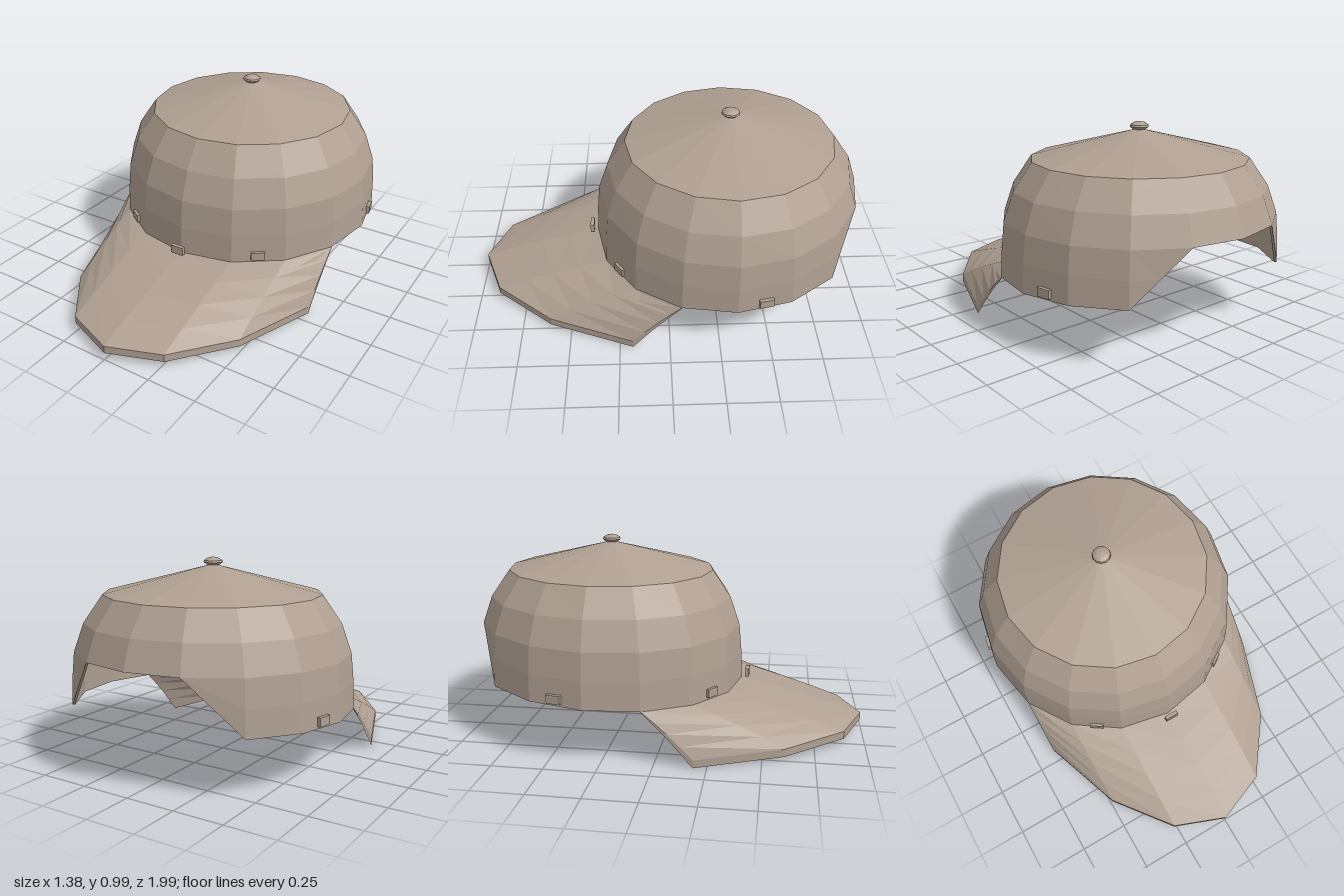
import * as THREE from 'three';

const STEP = Math.PI / 8;      // sixteen-sided crown
const CZ = -0.322;             // crown axis
const WALL = 0.012;

// Crown rings from rim to shoulder: height, radius, forward tilt
const RINGS = [
  [0.28, 0.692, 0.045],
  [0.415, 0.687, 0.034],
  [0.55, 0.674, 0.022],
  [0.69, 0.625, 0.015],
  [0.825, 0.532, 0.01],
];

// Faceted surface through a grid of points (rows of equal length)
function surface(rows) {
  const pos = [];
  const tri = (...pts) => pts.forEach((p) => pos.push(p.x, p.y, p.z));
  for (let r = 0; r < rows.length - 1; r++) {
    for (let c = 0; c < rows[r].length - 1; c++) {
      const a = rows[r][c], b = rows[r + 1][c], d = rows[r + 1][c + 1], e = rows[r][c + 1];
      if (d.distanceTo(b) > 1e-5) tri(a, b, d);
      if (a.distanceTo(e) > 1e-5) tri(a, d, e);
    }
  }
  const g = new THREE.BufferGeometry();
  g.setAttribute('position', new THREE.Float32BufferAttribute(pos, 3));
  g.computeVertexNormals();
  return g;
}

// Point on a crown ring; column 0 is the back, 4 the left side, 8 the front
function ringPoint(row, k, inset = 0) {
  const [y, radius, tilt] = RINGS[row];
  const r = radius - inset, a = k * STEP;
  const dz = -r * Math.cos(a);
  return new THREE.Vector3(r * Math.sin(a), y - tilt * dz, CZ + dz);
}

// Same, with the two columns beside the back opening pulled onto its slanted edge
function wallPoint(row, k, inset = 0) {
  if (row < 2 && (k === 1 || k === 15)) {
    const low = ringPoint(0, k === 1 ? 2 : 14, inset);
    return row === 0 ? low : low.lerp(ringPoint(2, k, inset), 0.5);
  }
  return ringPoint(row, k, inset);
}

const range = (from, to) => Array.from({ length: to - from + 1 }, (_, i) => from + i);

export function createModel() {
  const group = new THREE.Group();
  const fabric = new THREE.MeshStandardMaterial({ color: 0xb0a092 });
  fabric.name = 'taupe fabric';
  fabric.flatShading = true;
  fabric.side = THREE.DoubleSide;

  const add = (name, geometry, parent = group) => {
    const mesh = new THREE.Mesh(geometry, fabric);
    mesh.name = name;
    parent.add(mesh);
    return mesh;
  };

  // Crown: outer shell and lining, each with lower wall, upper wall and conical top
  const crown = new THREE.Group();
  crown.name = 'crown';
  group.add(crown);
  for (const [label, inset] of [['outer', 0], ['lining', WALL]]) {
    const lower = [0, 1, 2].map((r) => range(1, 15).map((k) => wallPoint(r, k, inset)));
    const upper = [2, 3, 4].map((r) => range(0, 16).map((k) => ringPoint(r, k, inset)));
    const apex = new THREE.Vector3(0, 0.962 - inset, CZ);
    const shoulder = range(0, 16).map((k) => ringPoint(4, k, inset));
    if (inset) {
      upper[2].forEach((p) => { p.y -= inset; });
      shoulder.forEach((p) => { p.y -= inset; });
    }
    const parts = [
      ['LowerWall', lower],
      ['UpperWall', upper],
      ['Top', [shoulder, shoulder.map(() => apex)]],
    ];
    for (const [part, rows] of parts) {
      if (inset) rows.reverse();
      add(label + part, surface(rows), crown);
    }
  }

  // Hem closing the wall thickness around the rim and the back opening
  const hemPath = [
    ...range(2, 14).map((k) => [0, k]),
    [1, 15], [2, 15], [2, 0], [2, 1], [1, 1], [0, 2],
  ];
  add('hem', surface([WALL, 0].map((i) => hemPath.map(([r, k]) => wallPoint(r, k, i)))), crown);

  // Brim: runs from the front rim down to a pointed, drooping outline
  const outerZ = [0.997, 0.895, 0.605, 0.185];
  const outerY = [0.08, 0.075, 0.06, 0.043];
  const brimPoint = (t, f, under) => {
    const i = Math.abs(f);
    const inner = ringPoint(0, 8 + f);
    const p = inner.clone().lerp(new THREE.Vector3(inner.x, outerY[i], outerZ[i]), t);
    p.y += 0.035 * t * (1 - t);
    if (under) p.y -= 0.004 + 0.035 * t;
    return p;
  };
  const ts = [0, 0.25, 0.5, 0.75, 1];
  const cols = range(-3, 3);
  const brim = new THREE.Group();
  brim.name = 'brim';
  group.add(brim);
  add('brimTop', surface(ts.map((t) => cols.map((f) => brimPoint(t, f, false))).reverse()), brim);
  add('brimUnderside', surface(ts.map((t) => cols.map((f) => brimPoint(t, f, true)))), brim);
  add('brimFrontEdge', surface([true, false].map((u) => cols.map((f) => brimPoint(1, f, u)))), brim);
  for (const s of [-1, 1]) {
    const rows = [true, false].map((u) => ts.map((t) => brimPoint(t, 3 * s, u)));
    if (s > 0) rows.reverse();
    add(s > 0 ? 'brimLeftEdge' : 'brimRightEdge', surface(rows.reverse()), brim);
  }

  // Button on top
  const profile = [[0, 0.956], [0.03, 0.957], [0.047, 0.97], [0.044, 0.979], [0.025, 0.991], [0, 0.996]];
  const button = add('topButton', new THREE.LatheGeometry(
    profile.map(([x, y]) => new THREE.Vector2(x, y)), 12));
  button.position.z = CZ;

  // Small tabs around the rim: angle from the front, distance from axis, height
  const tab = (name, angle, radius, y, depth) => {
    const mesh = add(name, new THREE.BoxGeometry(0.07, 0.042, depth));
    mesh.position.set(radius * Math.sin(angle), y, CZ + radius * Math.cos(angle));
    mesh.rotation.y = angle;
  };
  tab('frontTab', 0, 0.722, 0.281, 0.02);
  for (const [side, s] of [['left', 1], ['right', -1]]) {
    tab(side + 'FrontTab', s * 0.585, 0.676, 0.288, 0.03);
    tab(side + 'SideTab', s * 1.77, 0.682, 0.32, 0.025);
  }

  return group;
}
